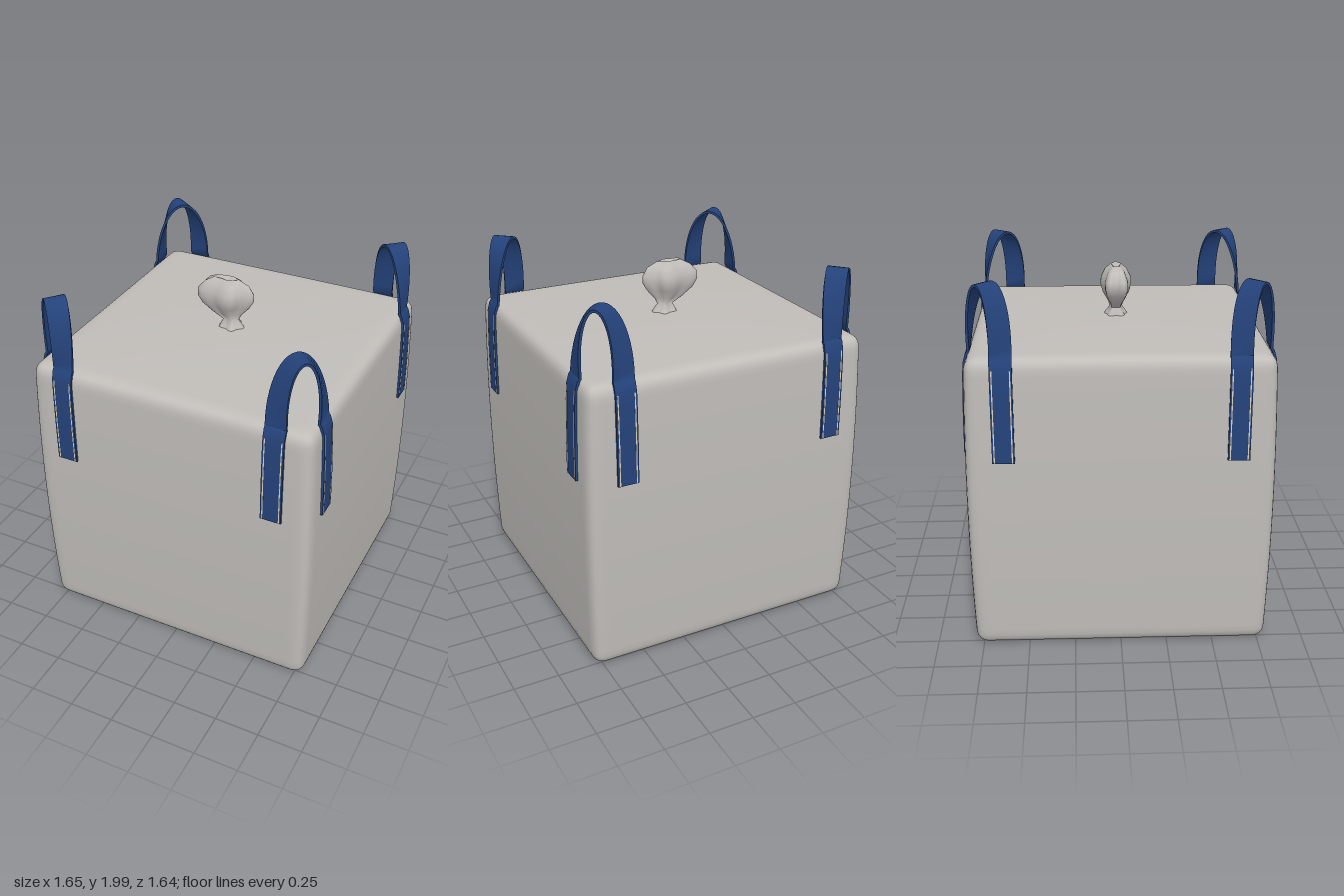
import * as THREE from 'three';
import { mergeVertices, toCreasedNormals } from 'three/addons/utils/BufferGeometryUtils.js';

const fabric = new THREE.MeshStandardMaterial({ color: 0xc0bdb9 });
fabric.name = 'grey fabric';
const webbing = new THREE.MeshStandardMaterial({ color: 0x24427a });
webbing.name = 'navy webbing';
const thread = new THREE.MeshStandardMaterial({ color: 0xd9d2c4 });
thread.name = 'cream thread';

const V = (x, y, z) => new THREE.Vector3(x, y, z);

function part(name, geometry, material) {
  const mesh = new THREE.Mesh(geometry, material);
  mesh.name = name;
  return mesh;
}

// Skin a row of closed cross-sections and cap both ends
function loft(rings, crease) {
  const pos = [];
  const tri = (...points) => points.forEach((p) => pos.push(p.x, p.y, p.z));
  const centre = (ring) => ring.reduce((s, p) => s.add(p), V(0, 0, 0)).divideScalar(ring.length);
  const n = rings[0].length;
  const first = rings[0], last = rings[rings.length - 1];
  const c0 = centre(first), c1 = centre(last);
  for (let i = 0; i < n; i++) {
    const j = (i + 1) % n;
    for (let k = 0; k < rings.length - 1; k++) {
      const a = rings[k], b = rings[k + 1];
      tri(a[i], a[j], b[j]);
      tri(a[i], b[j], b[i]);
    }
    tri(c0, first[j], first[i]);
    tri(c1, last[i], last[j]);
  }
  const geo = new THREE.BufferGeometry();
  geo.setAttribute('position', new THREE.Float32BufferAttribute(pos, 3));
  return toCreasedNormals(geo, crease);
}

// Flat strip along frames {p, w}: w is the direction across the strip
function strip(frames, shiftW, shiftN, halfW, halfN) {
  const rings = frames.map(({ p, w }, i) => {
    const a = frames[Math.max(i - 1, 0)].p;
    const b = frames[Math.min(i + 1, frames.length - 1)].p;
    const n = w.clone().cross(b.clone().sub(a)).normalize();
    return [[-1, 1], [1, 1], [1, -1], [-1, -1]].map(([u, v]) =>
      p.clone().addScaledVector(w, shiftW + u * halfW).addScaledVector(n, shiftN + v * halfN));
  });
  return loft(rings, 0.6);
}

// Rounded cube with slightly swollen sides and a domed top
function bagBody() {
  const half = V(0.798, 0.815, 0.79), r = 0.065;
  let geo = new THREE.BoxGeometry(2, 2, 2, 32, 32, 32);
  geo.deleteAttribute('uv');
  geo.deleteAttribute('normal');
  geo = mergeVertices(geo);
  const pos = geo.attributes.position;
  const inner = half.clone().subScalar(r);
  const ease = (t) => Math.sin(t * Math.PI / 2);
  for (let i = 0; i < pos.count; i++) {
    const p = V(ease(pos.getX(i)), ease(pos.getY(i)), ease(pos.getZ(i))).multiply(half);
    const core = p.clone().clamp(inner.clone().negate(), inner);
    p.sub(core).setLength(r).add(core);
    const u = p.x / half.x, v = p.y / half.y, w = p.z / half.z;
    const swell = 1 + 0.021 * (1 - v * v);
    const dome = v > 0 ? 0.022 * v * (1 - u * u) * (1 - w * w) : 0;
    pos.setXYZ(i, p.x * swell, p.y + half.y + 0.005 + dome, p.z * swell);
  }
  geo.computeVertexNormals();
  return geo;
}

// Gathered spout: five pleats on oval rings [y, centre x, radius x, radius z]
function spout() {
  const levels = [
    [1.645, -0.005, 0.078, 0.074], [1.672, -0.006, 0.066, 0.058],
    [1.70, -0.01, 0.046, 0.036], [1.735, -0.035, 0.088, 0.046],
    [1.785, -0.045, 0.143, 0.076], [1.83, -0.046, 0.171, 0.09],
    [1.87, -0.045, 0.172, 0.086], [1.915, -0.036, 0.135, 0.062],
    [1.943, -0.036, 0.075, 0.028], [1.93, -0.036, 0.02, 0.008],
  ];
  const n = 40;
  return loft(levels.map(([y, cx, rx, rz]) => Array.from({ length: n }, (_, i) => {
    const a = i / n * Math.PI * 2;
    const f = 0.88 + 0.12 * Math.cos(5 * a);
    return V(cx + rx * f * Math.cos(a), y, -rz * f * Math.sin(a));
  })), 1.3);
}

// One lifting loop: a leg on each of two faces joined by an arch over the corner
function liftingLoop(hx, hz) {
  const group = new THREE.Group();
  const mid = 0.603;
  const leg = [[1.09, 0.02], [1.3, 0.017], [1.5, 0.01], [1.58, 0.005], [1.625, -0.008]];
  const frontLeg = leg.map(([y, d]) => ({ p: V(mid, y, hz + d), w: V(1, 0, 0) }));
  const sideLeg = leg.map(([y, d]) => ({ p: V(hx + d, y, mid), w: V(0, 0, 1) })).reverse();
  const A = V(mid, 1.64, hz - 0.018), B = V(hx - 0.018, 1.64, mid);
  const arch = [];
  for (let i = 0; i <= 24; i++) {
    const t = i / 24, a = t * Math.PI;
    const p = A.clone().lerp(B, (1 - Math.cos(a)) / 2);
    const rise = Math.sin(a);
    p.add(V(-0.01 * rise, 0.352 * Math.pow(Math.max(rise, 0), 0.95), -0.01 * rise));
    const turn = t * Math.PI / 2;
    arch.push({ p, w: V(Math.cos(turn), 0, Math.sin(turn)) });
  }
  group.add(part('strap', strip([...frontLeg, ...arch, ...sideLeg], 0, 0, 0.0575, 0.007), webbing));
  // Stitch lines near both edges of each leg
  for (const frames of [frontLeg.slice(0, 4), sideLeg.slice(1)]) {
    for (const s of [-1, 1]) {
      group.add(part('stitching', strip(frames, s * 0.046, 0.0075, 0.003, 0.001), thread));
    }
  }
  return group;
}

export function createModel() {
  const model = new THREE.Group();
  model.name = 'bulkBag';
  model.add(part('bagBody', bagBody(), fabric));
  model.add(part('tiedSpout', spout(), fabric));

  // Same loop turned to each corner, with the half widths swapped on odd turns
  for (let k = 0; k < 4; k++) {
    const loop = k % 2 ? liftingLoop(0.79, 0.798) : liftingLoop(0.798, 0.79);
    loop.name = 'liftingLoop' + (k + 1);
    loop.rotation.y = k * Math.PI / 2;
    model.add(loop);
  }
  return model;
}
